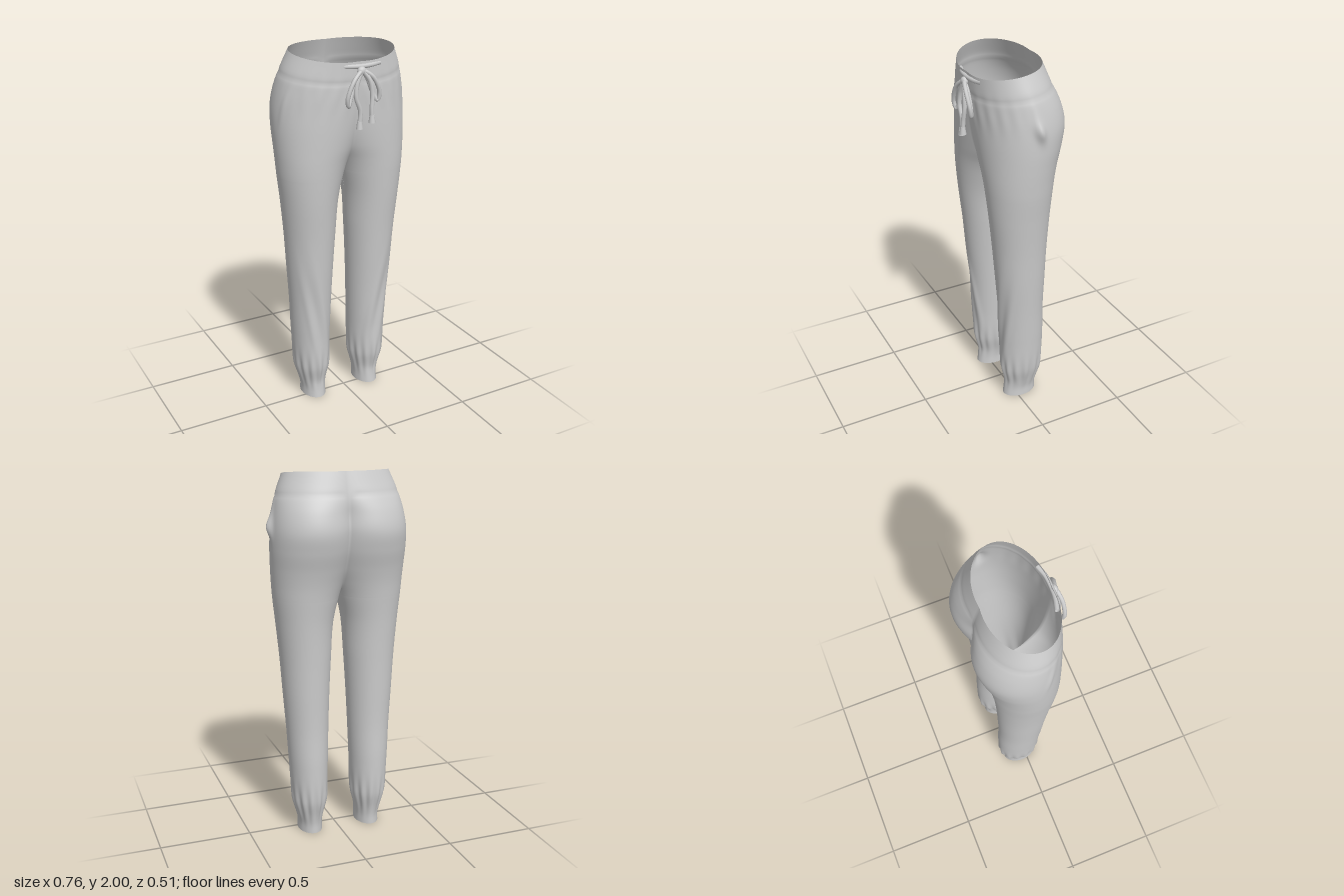
import * as THREE from 'three';
import { mergeVertices } from 'three/addons/utils/BufferGeometryUtils.js';

// Sections of one half: y, outer x, front lobe centre x, back lobe centre x, front z, back z
const SECTIONS = [
  [0.00, 0.237, 0.171, 0.171, 0.066, -0.130],
  [0.05, 0.236, 0.171, 0.171, 0.060, -0.130],
  [0.10, 0.246, 0.173, 0.173, 0.058, -0.138],
  [0.20, 0.270, 0.175, 0.175, 0.078, -0.160],
  [0.40, 0.284, 0.178, 0.178, 0.086, -0.165],
  [0.60, 0.295, 0.180, 0.180, 0.096, -0.160],
  [0.80, 0.309, 0.183, 0.183, 0.113, -0.163],
  [1.00, 0.322, 0.184, 0.184, 0.130, -0.168],
  [1.20, 0.340, 0.186, 0.186, 0.150, -0.178],
  [1.34, 0.355, 0.1775, 0.1775, 0.162, -0.192],
  [1.42, 0.361, 0.165, 0.168, 0.168, -0.203],
  [1.50, 0.366, 0.142, 0.158, 0.174, -0.220],
  [1.60, 0.370, 0.115, 0.150, 0.180, -0.246],
  [1.70, 0.367, 0.090, 0.145, 0.184, -0.260],
  [1.80, 0.353, 0.070, 0.130, 0.187, -0.240],
  [1.90, 0.329, 0.050, 0.080, 0.188, -0.202],
  [2.00, 0.290, 0.040, 0.045, 0.187, -0.167],
];
const CROTCH = 1.34, SEAM_X = -0.016;
const bump = (d, w) => Math.exp(-(d * d) / (w * w));

// Smooth interpolation between the sections
function sectionAt(y) {
  let i = 0;
  while (i < SECTIONS.length - 2 && y > SECTIONS[i + 1][0]) i++;
  const a = SECTIONS[i], b = SECTIONS[i + 1];
  const p = SECTIONS[Math.max(i - 1, 0)], n = SECTIONS[Math.min(i + 2, SECTIONS.length - 1)];
  const h = b[0] - a[0], t = (y - a[0]) / h;
  return a.map((v, k) => {
    const m0 = (b[k] - p[k]) / (b[0] - p[0]) * h, m1 = (n[k] - v) / (n[0] - a[0]) * h;
    return v * (1 + 2 * t) * (1 - t) ** 2 + m0 * t * (1 - t) ** 2
      + b[k] * t * t * (3 - 2 * t) + m1 * t * t * (t - 1);
  });
}

// Cloth folds, as an outward offset
function foldOffset(side, y, angle, z) {
  const front = Math.max(0, Math.sin(angle));
  let d = 0.005 * bump(y - 0.18, 0.09) * Math.sin(angle * 13);            // ankle gathers
  d += 0.002 * bump(y - 1.8, 0.09) * front * Math.sin(angle * 22);        // gathers below the waistband
  d -= 0.003 * bump(y - 1.885, 0.012);                                    // waistband seam
  const along = bump(y - 0.5, 0.28) * front;
  d += 0.007 * along * bump(angle - 1.15 - (y - 0.4) * 1.6, 0.16);        // diagonal shin folds
  d -= 0.006 * along * bump(angle - 1.55 - (y - 0.4) * 1.6, 0.16);
  d += 0.005 * along * bump(angle - 1.95 - (y - 0.4) * 1.4, 0.14);
  if (Math.cos(angle) < -0.5) {                                           // side pockets
    const slant = z + 0.03 - (y - 1.72) * 0.2;
    d += side > 0
      ? 0.022 * bump(y - 1.72, 0.05) * bump(slant, 0.025) + 0.007 * bump(y - 1.78, 0.09) * bump(slant, 0.02)
      : 0.007 * bump(y - 1.74, 0.09) * bump(z - 0.04 - (y - 1.72) * 0.2, 0.016);
  }
  return d;
}

// Legs are closed rings; above the crotch each ring opens along the centre seam
function trouserGeometry() {
  const N = 80, LOW = 84, HIGH = 60, pos = [], idx = [];
  const heights = [];
  for (let i = 0; i <= LOW; i++) heights.push(CROTCH * i / LOW);
  for (let i = 1; i <= HIGH; i++) heights.push(CROTCH + (2 - CROTCH) * (i / HIGH) ** 1.35);
  for (const side of [1, -1]) {
    const base = pos.length / 3;
    heights.forEach((y, row) => {
      const [, X, cF, cB, zF, zB] = sectionAt(y);
      const zc = (zF + zB) / 2;
      for (let j = 0; j <= N; j++) {
        const isFront = j <= N / 2, c = isFront ? cF : cB, r = X - c;
        const start = row < LOW ? 0 : Math.acos(Math.min(1, c / r));
        const u = isFront ? j / (N / 2) : (N - j) / (N / 2);
        const a = start + (Math.PI - start) * u;
        const angle = isFront ? a : 2 * Math.PI - a;
        let x = c - r * Math.cos(a), z = zc + (isFront ? zF - zc : zB - zc) * Math.sin(a);
        const w = row < LOW - 6 ? 1 : THREE.MathUtils.smoothstep(x, 0, 0.05);
        const d = foldOffset(side, y, angle, z) * w;
        x -= d * Math.cos(angle);
        z += d * Math.sin(angle);
        // The waist opening dips towards the front
        const t = Math.max(0, (z + 0.165) / 0.35);
        const dip = 0.055 * t * t * THREE.MathUtils.smoothstep(y, 1.6, 2);
        pos.push(SEAM_X + side * x, y - dip, z);
      }
      if (row === heights.length - 1) return;
      for (let j = 0; j < N; j++) {
        const p = base + row * (N + 1) + j, q = p + N + 1;
        if (side > 0) idx.push(p, p + 1, q, p + 1, q + 1, q);
        else idx.push(p, q, p + 1, p + 1, q, q + 1);
      }
    });
  }
  let g = new THREE.BufferGeometry();
  g.setAttribute('position', new THREE.Float32BufferAttribute(pos, 3));
  g.setIndex(idx);
  g = mergeVertices(g, 1e-5);
  g.computeVertexNormals();
  return g;
}

export function createModel() {
  const model = new THREE.Group();
  const cloth = new THREE.MeshStandardMaterial({ color: 0xcccccc, side: THREE.DoubleSide });
  const add = (name, geometry, parent = model) => {
    const mesh = new THREE.Mesh(geometry, cloth);
    mesh.name = name;
    parent.add(mesh);
    return mesh;
  };
  add('trousers', trouserGeometry());

  const drawstring = new THREE.Group();
  drawstring.name = 'drawstring';
  model.add(drawstring);
  const cord = (name, points, radius, closed = false) => add(name, new THREE.TubeGeometry(
    new THREE.CatmullRomCurve3(points.map(p => new THREE.Vector3(...p)), closed), 40, radius, 8, closed), drawstring);

  // Cord along the waistband
  cord('waistCord', [[-0.125, 1.925, 0.166], [-0.06, 1.922, 0.184], [0, 1.92, 0.188], [0.06, 1.922, 0.184], [0.113, 1.925, 0.168]], 0.012);
  const knot = add('knot', new THREE.SphereGeometry(0.022, 16, 12), drawstring);
  knot.position.set(-0.008, 1.9, 0.202);
  knot.scale.set(1.1, 1, 0.8);

  // Bow loops
  cord('rightLoop', [[-0.012, 1.9, 0.205], [-0.06, 1.86, 0.222], [-0.098, 1.77, 0.222], [-0.088, 1.73, 0.212], [-0.066, 1.78, 0.202], [-0.035, 1.86, 0.2]], 0.011, true);
  cord('leftLoop', [[0, 1.9, 0.205], [0.045, 1.87, 0.22], [0.085, 1.79, 0.218], [0.08, 1.745, 0.21], [0.058, 1.78, 0.2], [0.025, 1.86, 0.2]], 0.011, true);

  // Hanging tails with flared ends
  const tails = [
    ['rightTail', [[-0.01, 1.9, 0.205], [-0.04, 1.83, 0.21], [-0.045, 1.77, 0.214], [-0.022, 1.7, 0.214], [-0.026, 1.63, 0.215]]],
    ['leftTail', [[0, 1.9, 0.205], [0.03, 1.85, 0.22], [0.04, 1.78, 0.226], [0.034, 1.71, 0.232], [0.034, 1.66, 0.235]]],
  ];
  for (const [name, points] of tails) {
    cord(name, points, 0.012);
    const [x, y, z] = points[points.length - 1];
    const end = add(name + 'End', new THREE.CylinderGeometry(0.012, 0.018, 0.04, 12), drawstring);
    end.position.set(x, y, z);
  }
  return model;
}
